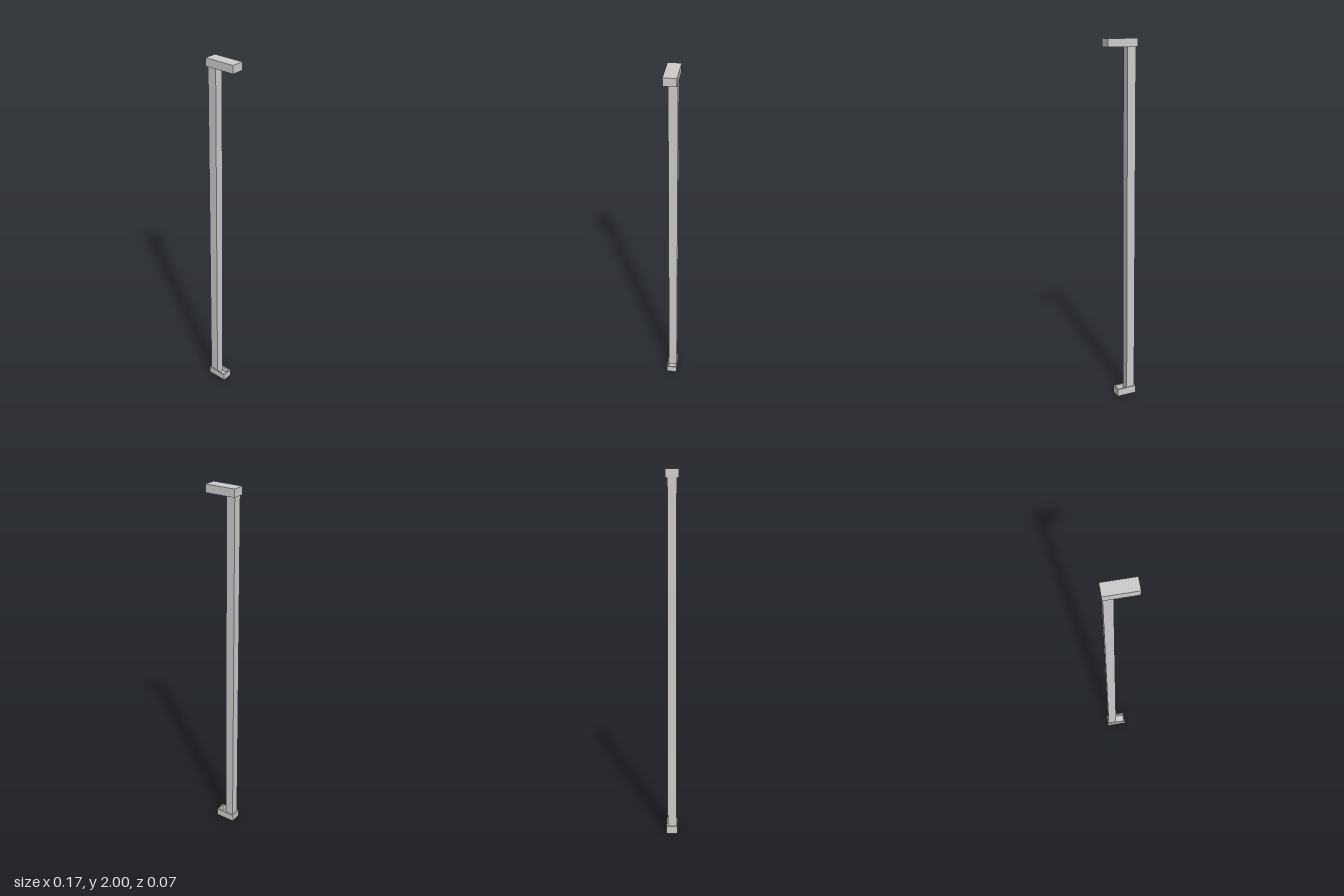
import * as THREE from 'three';

const material = new THREE.MeshStandardMaterial({ color: 0xcccccc, flatShading: true });
const WALL = 0.006;

function box(name, x0, x1, y0, y1, halfZ) {
  const mesh = new THREE.Mesh(new THREE.BoxGeometry(x1 - x0, y1 - y0, halfZ * 2), material);
  mesh.name = name;
  mesh.position.set((x0 + x1) / 2, (y0 + y1) / 2, 0);
  return mesh;
}

// Rectangular tray: a closed plate with a rim of thin walls, open upward
function tray(name, x0, x1, height, halfZ) {
  const group = new THREE.Group();
  group.name = name;
  const w = x1 - x0;
  const rim = new THREE.Shape([[x0, -halfZ], [x1, -halfZ], [x1, halfZ], [x0, halfZ]]
    .map(([x, z]) => new THREE.Vector2(x, z)));
  const a = x0 + WALL, b = x0 + w - WALL, c = halfZ - WALL;
  rim.holes.push(new THREE.Path([[a, -c], [a, c], [b, c], [b, -c]]
    .map(([x, z]) => new THREE.Vector2(x, z))));
  const geometry = new THREE.ExtrudeGeometry(rim, { depth: height - WALL, bevelEnabled: false });
  geometry.rotateX(-Math.PI / 2);
  const walls = new THREE.Mesh(geometry, material);
  walls.name = name + 'Walls';
  walls.position.y = WALL;
  group.add(walls, box(name + 'Plate', x0, x1, 0, WALL, halfZ));
  return group;
}

export function createModel() {
  const model = new THREE.Group();
  model.name = 'bracketPost';

  // Upright, seated inside both trays
  model.add(box('post', -0.079, -0.031, WALL, 2 - WALL, 0.024));

  // Foot opens upward
  model.add(tray('foot', -0.085, 0.028, 0.042, 0.03));

  // Longer head opens downward
  const head = tray('head', -0.085, 0.085, 0.042, 0.034);
  head.rotation.x = Math.PI;
  head.position.y = 2;
  model.add(head);

  return model;
}
